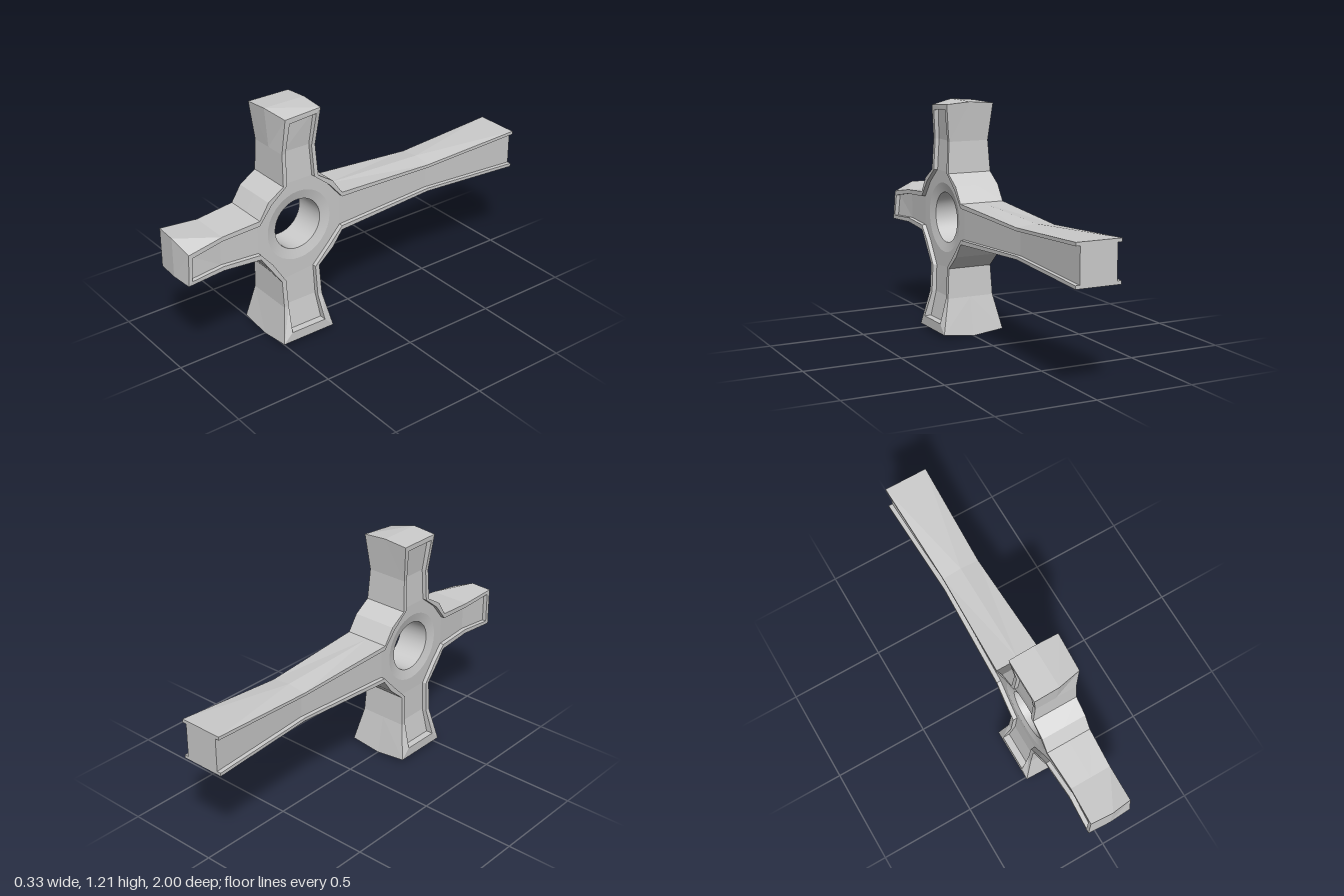
import * as THREE from 'three';
import { toCreasedNormals } from 'three/addons/utils/BufferGeometryUtils.js';

const CZ = 0.365, CY = 0.605;      // hub centre in the z-y plane
const HUB_WEB = 0.096;             // half thickness of the recessed hub face
const RING = 0.18, BORE = 0.13, SEG = 32;

// Arms in order front, top, back, bottom.
// Station: [distance, low side, high side, half width, rim, recess, side crown, end crown]
const ARMS = [
  { name: 'frontArm', dir: [1, 0], stations: [
    [0.235, -0.1, 0.105, 0.118, 0.025, 0.022, 0, 0],
    [0.435, -0.09, 0.087, 0.108, 0.022, 0.022, 0, 0],
    [0.628, -0.1, 0.1, 0.117, 0.02, 0.022, 0, 0.007]] },
  { name: 'topArm', dir: [0, 1], stations: [
    [0.24, -0.1, 0.1, 0.118, 0.022, 0.022, 0, 0],
    [0.4, -0.097, 0.09, 0.109, 0.02, 0.022, 0, 0],
    [0.59, -0.115, 0.11, 0.129, 0.025, 0.025, 0, 0.01]] },
  { name: 'backArm', dir: [-1, 0], open: true, stations: [
    [0.24, -0.105, 0.1, 0.118, 0.022, 0.022, 0, 0],
    [0.8, -0.075, 0.075, 0.1, 0.016, 0.022, 0.012, 0],
    [1.365, -0.105, 0.1, 0.116, 0.017, 0.022, 0, 0]] },
  { name: 'bottomArm', dir: [0, -1], stations: [
    [0.25, -0.1, 0.12, 0.118, 0.023, 0.022, 0, 0],
    [0.405, -0.107, 0.117, 0.127, 0.025, 0.024, 0, 0],
    [0.585, -0.145, 0.15, 0.167, 0.05, 0.037, 0, 0.02]] },
];
// Shoulder points following each arm, relative to the hub centre
const SHOULDERS = [[0.185, 0.185], [-0.185, 0.185], [-0.185, -0.175], [0.19, -0.165]];

// One outline point: outer edge, crown at the middle, inner rim edge
function armPoint(arm, st, high, isEnd) {
  const [d, lo, hi, w, t, recess, crown, endCrown] = st;
  const [dx, dy] = arm.dir;
  const sign = high ? 1 : -1, s = high ? hi : lo;
  const place = (a, b) => [CZ + a * dx - b * dy, CY + a * dy + b * dx];
  const back = isEnd ? (arm.open ? 0 : t) : 0;
  return {
    w, iw: w - recess, chip: [0, 0, 0],
    outer: place(d, s), mid: place(d + endCrown, s + sign * crown),
    inner: place(d - back, s - sign * t),
  };
}

function shoulderPoint([u, v]) {
  const k = 1 - 0.025 / Math.hypot(u, v), p = [CZ + u, CY + v];
  return { w: 0.118, iw: HUB_WEB, chip: [0, 0, 0], outer: p, mid: p, inner: [CZ + u * k, CY + v * k] };
}

// Position of an outline point on one side (+1 or -1); worn corners are on +x
function at(p, side, ring, width) {
  const c = side > 0 ? p.chip : [0, 0, 0];
  return [side * (width - c[2]), p[ring][1] + c[1], p[ring][0] + c[0]];
}

function faces() {
  const pos = [];
  const tri = (a, b, c) => pos.push(...a, ...b, ...c);
  const quad = (a, b, c, d, side = 1) => {
    if (side > 0) { tri(a, b, c); tri(a, c, d); } else { tri(c, b, a); tri(d, c, a); }
  };
  return { pos, tri, quad };
}

function meshOf(name, pos, material) {
  const g = new THREE.BufferGeometry();
  g.setAttribute('position', new THREE.Float32BufferAttribute(pos, 3));
  g.computeVertexNormals();
  const m = new THREE.Mesh(g, material);
  m.name = name;
  return m;
}

// Outer wall, rim and rim step between two neighbouring outline points
function addFlange(f, a, b) {
  const ma = [0, a.mid[1], a.mid[0]], mb = [0, b.mid[1], b.mid[0]];
  for (const s of [1, -1]) {
    const oa = at(a, s, 'outer', a.w), ob = at(b, s, 'outer', b.w);
    const ia = at(a, s, 'inner', a.w), ib = at(b, s, 'inner', b.w);
    f.quad(ma, oa, ob, mb, s);
    f.quad(oa, ia, ib, ob, s);
    f.quad(ia, at(a, s, 'inner', a.iw), at(b, s, 'inner', b.iw), ib, s);
  }
}

export function createModel() {
  const group = new THREE.Group();
  const material = new THREE.MeshStandardMaterial({ color: 0xcccccc, flatShading: true });
  const smooth = new THREE.MeshStandardMaterial({ color: 0xcccccc });

  const arms = ARMS.map((arm) => {
    const last = arm.stations.length - 1;
    const side = (high) => arm.stations.map((st, i) => armPoint(arm, st, high, i === last));
    const lo = side(false), hi = side(true);
    for (const p of [lo[0], hi[0]]) p.iw = HUB_WEB;
    return { ...arm, lo, hi, last };
  });
  // Worn corners
  arms[0].hi[2].chip = [-0.012, -0.045, 0.006];
  arms[1].lo[2].chip = [-0.03, -0.015, 0.006];
  arms[3].hi[0].chip = [0, -0.015, 0];

  // Arms: flanges, recessed web panels and the tip
  for (const arm of arms) {
    const f = faces(), { lo, hi, last } = arm;
    for (let i = 0; i < last; i++) {
      addFlange(f, lo[i], lo[i + 1]);
      addFlange(f, hi[i + 1], hi[i]);
      for (const s of [1, -1]) {
        const web = (p) => at(p, s, 'inner', p.iw);
        f.quad(web(lo[i]), web(hi[i]), web(hi[i + 1]), web(lo[i + 1]), s);
      }
    }
    const a = lo[last], b = hi[last];
    if (arm.open) {
      // I-beam cross-section at the open tip
      const strip = (p, r1, q, r2, w) =>
        f.quad(at(p, -1, r1, w), at(p, 1, r1, w), at(q, 1, r2, w), at(q, -1, r2, w));
      strip(a, 'outer', a, 'inner', a.w);
      strip(a, 'inner', b, 'inner', a.iw);
      strip(b, 'inner', b, 'outer', b.w);
    } else addFlange(f, a, b);
    group.add(meshOf(arm.name, f.pos, material));
  }

  // Hub: shoulders between the arms and the recessed face around the ring
  const hub = faces(), contour = [];
  arms.forEach((arm, i) => {
    const corner = shoulderPoint(SHOULDERS[i]);
    addFlange(hub, arm.hi[0], corner);
    addFlange(hub, corner, arms[(i + 1) % 4].lo[0]);
    contour.push(arm.lo[0], arm.hi[0], corner);
  });
  const circle = Array.from({ length: SEG }, (_, i) => {
    const t = -i / SEG * Math.PI * 2;
    return [CZ + RING * Math.cos(t), CY + RING * Math.sin(t)];
  });
  for (const s of [1, -1]) {
    const edge = contour.map((p) => at(p, s, 'inner', HUB_WEB));
    const verts = [...edge, ...circle.map(([z, y]) => [s * HUB_WEB, y, z])];
    const flat = verts.map((v) => new THREE.Vector2(v[2], v[1]));
    const tris = THREE.ShapeUtils.triangulateShape(flat.slice(0, edge.length), [flat.slice(edge.length)]);
    for (const [i, j, k] of tris) {
      // Orient every triangle to face away from the middle plane
      const [p, q, r] = [flat[i], flat[j], flat[k]];
      const ccw = (q.x - p.x) * (r.y - p.y) - (q.y - p.y) * (r.x - p.x) > 0;
      if (ccw === (s < 0)) hub.tri(verts[i], verts[j], verts[k]);
      else hub.tri(verts[k], verts[j], verts[i]);
    }
  }
  group.add(meshOf('hub', hub.pos, material));

  // Bevelled ring and through bore
  const profile = [[RING, HUB_WEB], [BORE, 0.084], [BORE, -0.084], [RING, -HUB_WEB]];
  const lathe = new THREE.LatheGeometry(profile.map(([r, h]) => new THREE.Vector2(r, h)), SEG);
  const bore = new THREE.Mesh(toCreasedNormals(lathe, 0.5), smooth);
  bore.name = 'hubBore';
  bore.rotation.z = -Math.PI / 2;
  bore.position.set(0, CY, CZ);
  group.add(bore);

  return group;
}
